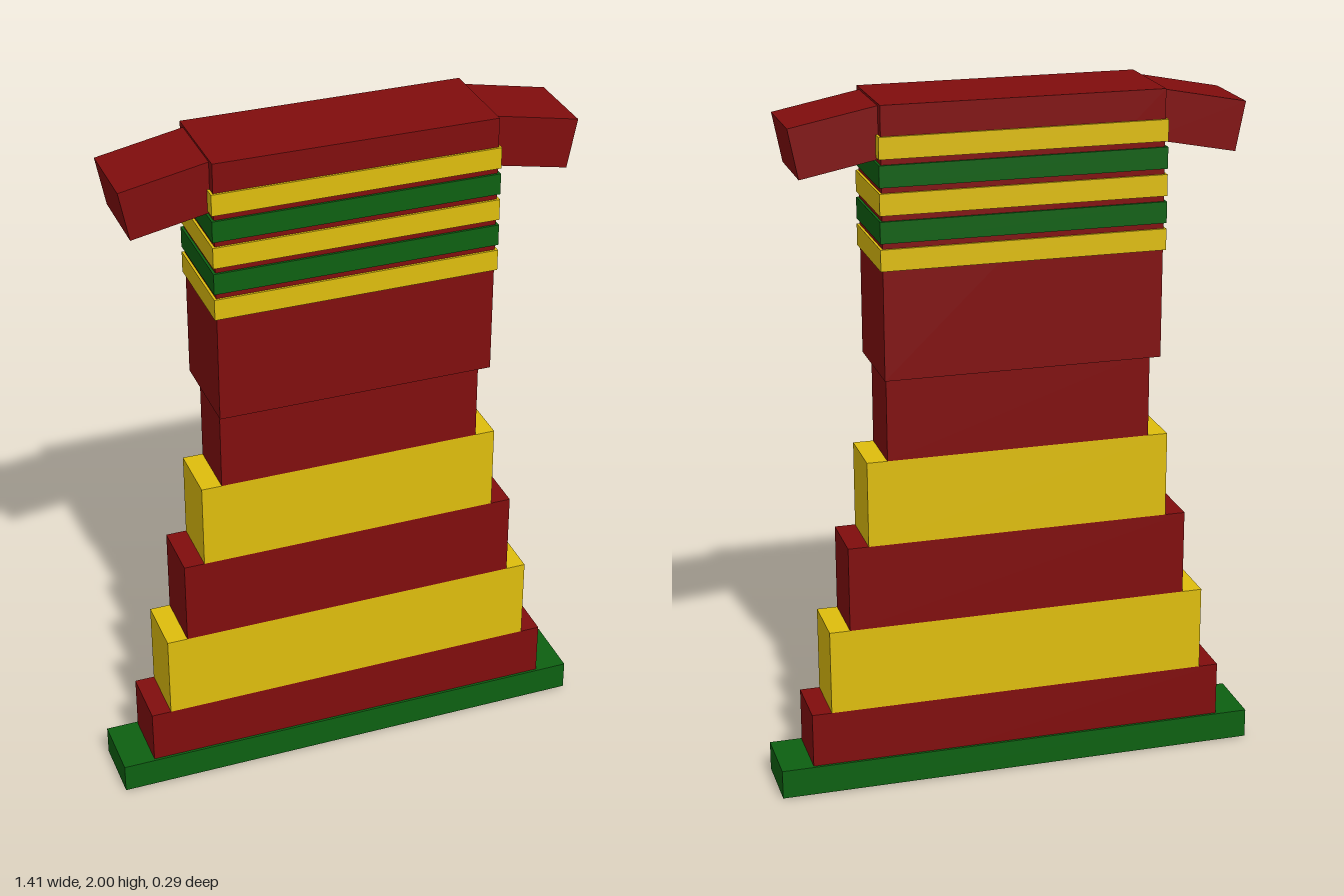
import * as THREE from 'three';

export function createModel() {
  const group = new THREE.Group();
  const paint = (color) => new THREE.MeshStandardMaterial({ color, flatShading: true });
  const red = paint(0x800d0d), yellow = paint(0xdebd0d), green = paint(0x0d6011);

  // Box given by half width, half depth and its bottom and top heights
  function slab(name, material, halfX, halfZ, y0, y1) {
    const mesh = new THREE.Mesh(new THREE.BoxGeometry(halfX * 2, y1 - y0, halfZ * 2), material);
    mesh.name = name;
    mesh.position.y = (y0 + y1) / 2;
    group.add(mesh);
  }

  // Hem around the foot; the lowest skirt tier reaches the floor inside it
  slab('hem', green, 0.706, 0.095, 0.002, 0.088);

  // Stepped skirt, narrowing upwards in alternating colours
  const tiers = [0.613, 0.556, 0.497, 0.438, 0.38];
  tiers.forEach((halfX, i) => {
    slab('skirtTier' + (i + 1), i % 2 ? yellow : red, halfX, 0.0875, i * 0.249, (i + 1) * 0.249);
  });

  // Torso
  slab('torso', red, 0.394, 0.1375, 1.245, 2);

  // Chest stripes
  for (let i = 0; i < 5; i++) {
    const y = 1.554 + i * 0.0758;
    slab('chestStripe' + (i + 1), i % 2 ? green : yellow, 0.401, 0.144, y, y + 0.06);
  }

  // Short sleeves sloping down from the shoulders
  for (const side of [1, -1]) {
    const sleeve = new THREE.Mesh(new THREE.BoxGeometry(0.26, 0.14, 0.22), red);
    sleeve.name = side > 0 ? 'leftSleeve' : 'rightSleeve';
    sleeve.position.set(side * 0.494, 1.903, 0);
    sleeve.rotation.z = -side * 0.193;
    group.add(sleeve);
  }

  return group;
}
